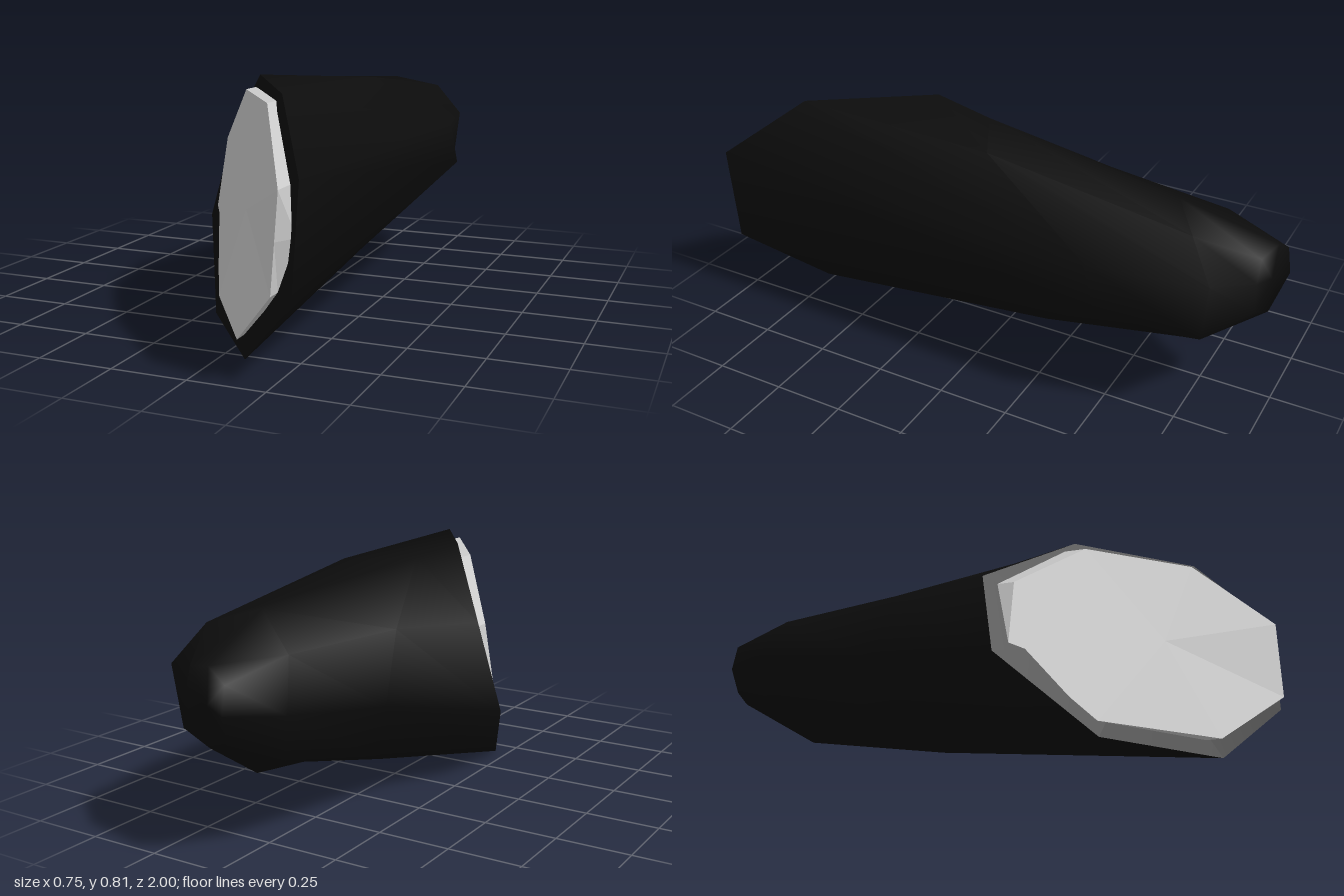
import * as THREE from 'three';

// Skin between matching rings (counterclockwise seen from +z, listed front to back).
function loft(rings, { front = false, back = false, flat = false }) {
  const n = rings[0].length;
  const points = rings.flat();
  const index = [];
  for (let r = 0; r < rings.length - 1; r++) {
    for (let i = 0; i < n; i++) {
      const j = (i + 1) % n;
      const a = r * n + i, b = r * n + j;
      index.push(a, a + n, b, b, a + n, b + n);
    }
  }
  // Fan caps around the mean point of an end ring
  const cap = (r, flip) => {
    const ring = rings[r];
    const c = points.length;
    points.push([0, 1, 2].map((k) => ring.reduce((s, p) => s + p[k], 0) / n));
    for (let i = 0; i < n; i++) {
      const a = r * n + i, b = r * n + (i + 1) % n;
      index.push(c, flip ? b : a, flip ? a : b);
    }
  };
  if (front) cap(0, false);
  if (back) cap(rings.length - 1, true);
  let geo = new THREE.BufferGeometry();
  geo.setAttribute('position', new THREE.Float32BufferAttribute(points.flat(), 3));
  geo.setIndex(index);
  if (flat) geo = geo.toNonIndexed();
  geo.computeVertexNormals();
  return geo;
}

export function createModel() {
  const group = new THREE.Group();
  const black = new THREE.MeshStandardMaterial({ color: 0x0c0c0c, side: THREE.DoubleSide });
  const grey = new THREE.MeshStandardMaterial({ color: 0xcccccc });
  const add = (name, geo, material) => {
    const mesh = new THREE.Mesh(geo, material);
    mesh.name = name;
    group.add(mesh);
  };

  // Octagonal housing: slanted rim, middle, shoulder and blunt tip
  const rim = [
    [0.345, 0.605, 0.985], [0.185, 0.80, 0.73], [-0.07, 0.81, 0.33], [-0.305, 0.59, 0.05],
    [-0.375, 0.27, 0.10], [-0.205, 0.005, 0.41], [0.08, 0, 0.78], [0.32, 0.25, 0.985],
  ];
  const middle = [
    [0.36, 0.57, -0.45], [0.20, 0.78, -0.02], [-0.03, 0.785, 0.10], [-0.19, 0.62, -0.30],
    [-0.20, 0.38, -0.38], [-0.10, 0.15, -0.26], [0.10, 0.12, -0.20], [0.375, 0.415, -0.50],
  ];
  const shoulder = [
    [0.29, 0.56, -0.84], [0.22, 0.68, -0.75], [0.08, 0.72, -0.65], [-0.10, 0.62, -0.76],
    [-0.15, 0.46, -0.84], [-0.09, 0.29, -0.78], [0.08, 0.20, -0.70], [0.27, 0.35, -0.82],
  ];
  const tip = [
    [0.14, 0.52, -0.945], [0.12, 0.60, -0.945], [0.03, 0.615, -0.97], [-0.04, 0.57, -0.985],
    [-0.04, 0.48, -1], [-0.03, 0.385, -0.97], [0.04, 0.365, -0.965], [0.13, 0.41, -0.945],
  ];
  add('housing', loft([rim, middle, shoulder, tip], { back: true }), black);

  // Flat lip closing the rim around the pane
  add('rimFace', loft([rim], { front: true }), black);

  // Thick pane standing slightly proud of the rim
  const pane = [
    [0.29, 0.575], [0.135, 0.77], [-0.10, 0.765], [-0.28, 0.565], [-0.33, 0.305],
    [-0.195, 0.065], [0.055, 0.06], [0.265, 0.275], [0.278, 0.43],
  ];
  const slant = (x, y) => 0.66 + 1.5 * x - 0.25 * y;
  const paneFront = pane.map(([x, y]) => [x, y, Math.min(1, slant(x, y) + 0.055)]);
  const paneBack = pane.map(([x, y], i) => [i === 8 ? 0.315 : x, y, slant(x, y) - 0.04]);
  add('pane', loft([paneFront, paneBack], { front: true, back: true, flat: true }), grey);

  return group;
}
